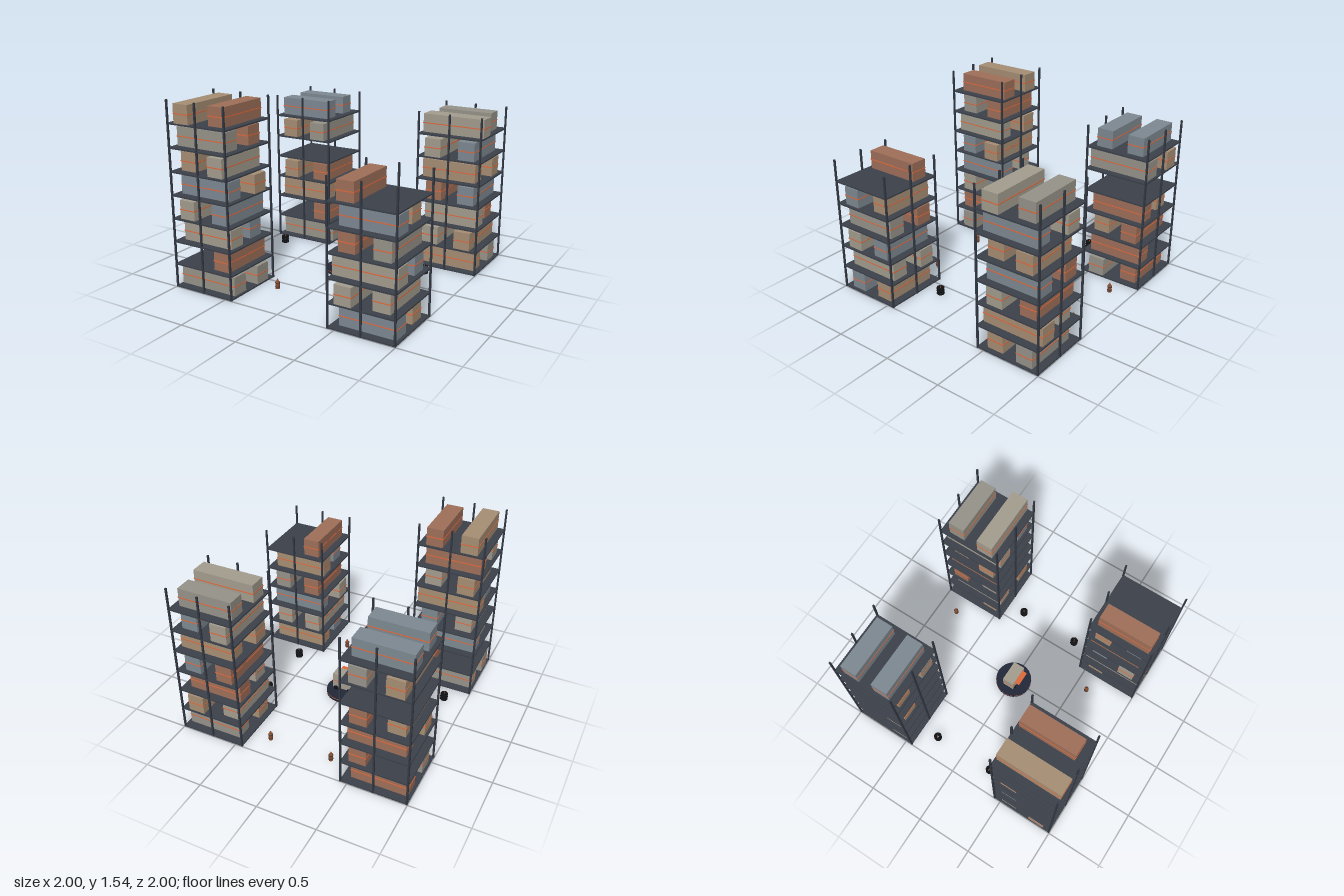
import * as THREE from 'three';

const paint = (color) => new THREE.MeshStandardMaterial({ color });
const MAT = {
  r: paint(0xa0705a), t: paint(0xa88f75), e: paint(0xa59e90), g: paint(0x97948a), b: paint(0x7f8a93),
  shelf: paint(0x3c414b), post: paint(0x343944), stripe: paint(0xe0693c), disc: paint(0x23283a),
  black: paint(0x111215), window: paint(0xe6c777), rust: paint(0x8a4c2c),
};

const PITCH = 0.1925, DECK = 0.012, HALF = 0.2825, CENTRE = 0.7175;
const BOX_H = 0.155, BOX_W = 0.142;

// One word per level: outer then inner container colour, capital = long, dot = empty
const TOWERS = [
  { name: 'frontRightTower', sx: -1, sz: 1, levels: 'GG .r eb eb bT te gr Tr' },
  { name: 'frontLeftTower', sx: 1, sz: 1, levels: 'bt eE Eb gr bt .r' },
  { name: 'backRightTower', sx: -1, sz: -1, levels: 'rG .r rt tr .. TG bb' },
  { name: 'backLeftTower', sx: 1, sz: -1, levels: 'gt Te re br tt bE gE' },
];

function add(parent, name, geometry, material, x = 0, y = 0, z = 0) {
  const mesh = new THREE.Mesh(geometry, material);
  mesh.name = name;
  mesh.position.set(x, y, z);
  parent.add(mesh);
  return mesh;
}
const box = (w, h, d) => new THREE.BoxGeometry(w, h, d);
const cylinder = (r, h, sides) => new THREE.CylinderGeometry(r, r, h, sides);

// Container with a thin stripe wrapped around its middle
function container(letter, length) {
  const group = new THREE.Group();
  group.name = 'container';
  add(group, 'containerBody', box(length, BOX_H, BOX_W), MAT[letter.toLowerCase()]);
  add(group, 'containerStripe', box(length + 0.006, 0.008, BOX_W + 0.006), MAT.stripe);
  return group;
}

// Open rack: decks, six posts and containers whose direction alternates by level
function tower({ name, sx, sz, levels }) {
  const group = new THREE.Group();
  group.name = name;
  const rows = levels.split(' '), height = rows.length * PITCH;
  rows.forEach((row, level) => {
    add(group, 'deck', box(HALF * 2 - 0.006, DECK, HALF * 2 - 0.006), MAT.shelf, 0, level * PITCH + DECK / 2, 0);
    [...row].forEach((letter, slot) => {
      if (letter === '.') return;
      const length = letter === letter.toUpperCase() ? 0.535 : 0.47;
      const item = container(letter, length);
      // small steady offsets so the stacks look hand-loaded
      const along = Math.sin(level * 5 + slot * 2 + sx) * (HALF - length / 2) * 0.5;
      const across = (slot ? -0.145 : 0.14) + Math.sin(level * 3 + slot) * 0.008;
      const y = level * PITCH + DECK + BOX_H / 2;
      if (level % 2) {
        item.rotation.y = Math.PI / 2;
        item.position.set(sx * across, y, along);
      } else {
        item.position.set(along, y, sz * across);
      }
      group.add(item);
    });
  });
  for (const px of [-1, 0, 1]) for (const pz of [-1, 1]) {
    add(group, 'post', box(0.014, height, 0.014), MAT.post, px * (HALF - 0.007), height / 2, pz * (HALF - 0.007));
  }
  group.position.set(sx * CENTRE, 0, sz * CENTRE);
  return group;
}

// Small wheeled kiosk on a round plinth
function kiosk() {
  const group = new THREE.Group();
  group.name = 'kiosk';
  add(group, 'plinth', cylinder(0.16, 0.022, 24), MAT.disc, 0, 0.011, 0);
  add(group, 'plinthRim', cylinder(0.161, 0.006, 24), MAT.stripe, 0, 0.025, 0);
  add(group, 'plinthTop', cylinder(0.16, 0.008, 24), MAT.disc, 0, 0.032, 0);
  add(group, 'kioskBody', box(0.186, 0.138, 0.105), MAT.e, 0, 0.131, 0);
  add(group, 'kioskStripe', box(0.19, 0.006, 0.109), MAT.stripe, 0, 0.133, 0);
  add(group, 'kioskDoor', box(0.03, 0.09, 0.006), MAT.shelf, 0, 0.11, 0.053);
  for (const s of [-1, 1]) {
    add(group, 'kioskWindow', box(0.05, 0.035, 0.006), MAT.window, s * 0.04, 0.162, 0.053);
    add(group, 'wheel', cylinder(0.022, 0.11, 16), MAT.black, s * 0.063, 0.058, 0).rotation.x = Math.PI / 2;
  }
  add(group, 'awning', box(0.13, 0.006, 0.05), MAT.stripe, 0, 0.188, 0.073);
  return group;
}

// Stack of three tyres around a thin peg
function tyreStack(x, z) {
  const group = new THREE.Group();
  group.name = 'tyreStack';
  for (let i = 0; i < 3; i++) {
    const ring = new THREE.TorusGeometry(0.023, 0.011, 8, 18);
    add(group, 'tyre', ring, MAT.black, 0, 0.013 + i * 0.024, 0).rotation.x = Math.PI / 2;
  }
  add(group, 'peg', cylinder(0.004, 0.082, 8), MAT.rust, 0, 0.041, 0);
  group.position.set(x, 0, z);
  return group;
}

// Banded drum with a pointed cap
function drum(x, z) {
  const group = new THREE.Group();
  group.name = 'drum';
  add(group, 'drumBody', cylinder(0.018, 0.055, 12), MAT.rust, 0, 0.0275, 0);
  for (const y of [0.018, 0.052]) add(group, 'drumBand', cylinder(0.0195, 0.006, 12), MAT.post, 0, y, 0);
  add(group, 'drumCap', new THREE.ConeGeometry(0.018, 0.034, 12), MAT.rust, 0, 0.072, 0);
  group.position.set(x, 0, z);
  return group;
}

export function createModel() {
  const model = new THREE.Group();
  model.name = 'containerYard';
  TOWERS.forEach((t) => model.add(tower(t)));
  model.add(kiosk());
  for (const s of [-1, 1]) {
    for (const x of [-0.82, 0.61]) model.add(tyreStack(x, s * 0.275));
    for (const z of [-0.82, 0.61]) model.add(drum(s * 0.275, z));
  }
  return model;
}
